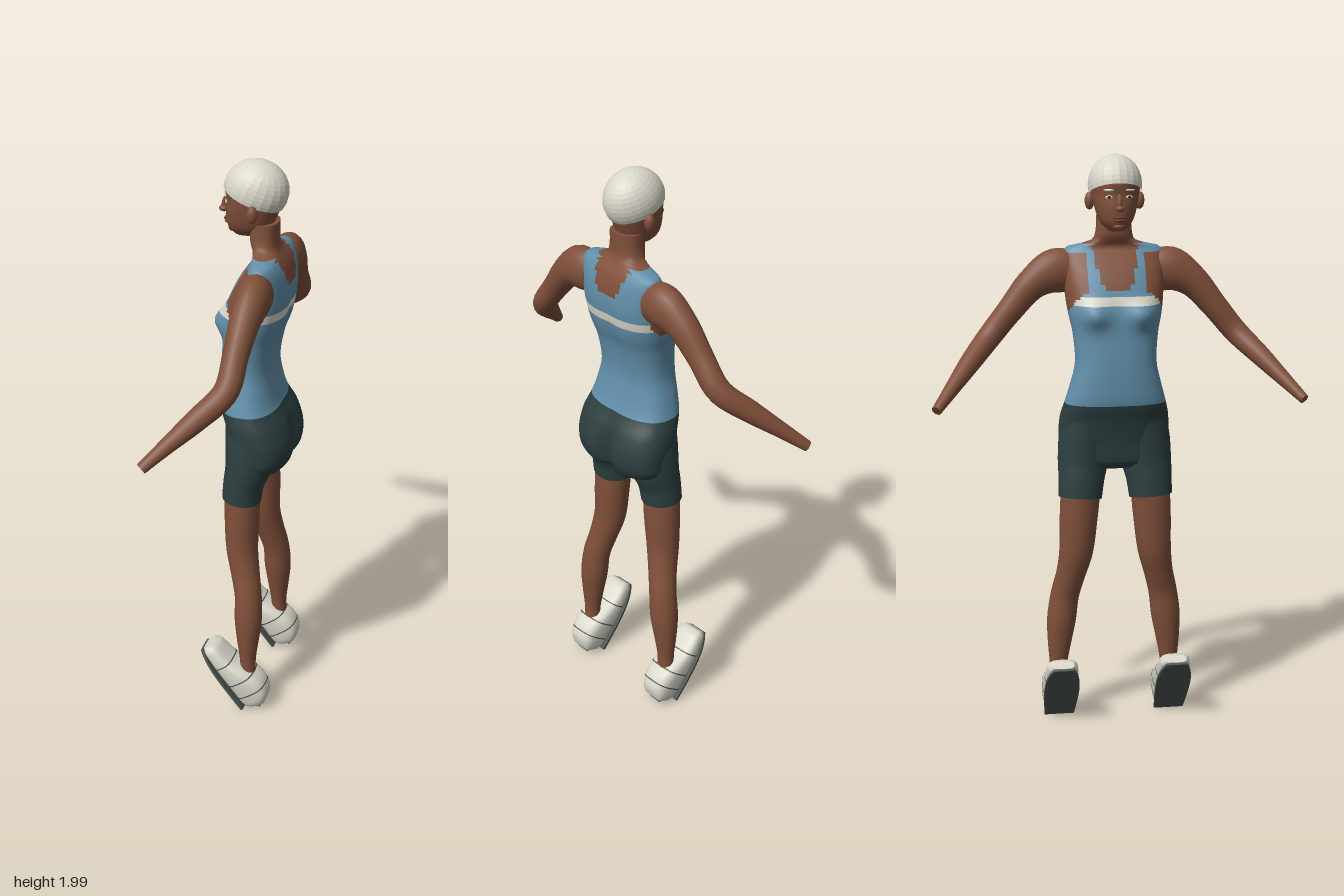
import * as THREE from 'three';

const mat = (name, color, side = THREE.FrontSide) => {
  const m = new THREE.MeshStandardMaterial({ color, side });
  m.name = name;
  return m;
};
const V = (x, y, z) => new THREE.Vector3(x, y, z);
const bump = (d, w) => Math.exp(-(d * d) / (w * w));
const sq = (c, n) => Math.sign(c) * Math.pow(Math.abs(c), 2 / n);

// Smooth lookup in a table whose first column is the position
function lookup(table, t) {
  let i = 0;
  while (i < table.length - 2 && t > table[i + 1][0]) i++;
  const a = table[i], b = table[i + 1];
  const p = table[Math.max(i - 1, 0)], q = table[Math.min(i + 2, table.length - 1)];
  const h = b[0] - a[0], s = THREE.MathUtils.clamp((t - a[0]) / h, 0, 1);
  return a.slice(1).map((v, k) => {
    const m0 = (b[k + 1] - p[k + 1]) / (b[0] - p[0]) * h;
    const m1 = (q[k + 1] - v) / (q[0] - a[0]) * h;
    const s2 = s * s, s3 = s2 * s;
    return (2 * s3 - 3 * s2 + 1) * v + (s3 - 2 * s2 + s) * m0
      + (3 * s2 - 2 * s3) * b[k + 1] + (s3 - s2) * m1;
  });
}

// Closed skin over rings of points; pick(centre) chooses a material index per face
function loft(rings, pick = () => 0) {
  const n = rings[0].length, pts = rings.flat(), buckets = [];
  const add = (...tri) => {
    const c = V(0, 0, 0);
    tri.forEach(i => c.addScaledVector(pts[i], 1 / 3));
    return c;
  };
  const put = (k, ...ids) => (buckets[k] ||= []).push(...ids);
  for (let i = 0; i < rings.length - 1; i++) for (let j = 0; j < n; j++) {
    const a = i * n + j, b = i * n + (j + 1) % n, c = a + n, d = b + n;
    const k = pick(add(a, b, c).add(add(b, d, c)).multiplyScalar(0.5));
    put(k, a, b, c, b, d, c);
  }
  for (const end of [0, rings.length - 1]) {
    const mid = V(0, 0, 0), start = pts.length;
    rings[end].forEach(p => mid.addScaledVector(p, 1 / n));
    pts.push(...rings[end].map(p => p.clone()), mid);
    const k = pick(mid);
    for (let j = 0; j < n; j++) {
      const a = start + j, b = start + (j + 1) % n;
      end ? put(k, a, b, start + n) : put(k, b, a, start + n);
    }
  }
  const g = new THREE.BufferGeometry().setFromPoints(pts), index = [];
  buckets.forEach((ids, k) => {
    g.addGroup(index.length, ids.length, k);
    for (const id of ids) index.push(id);
  });
  g.setIndex(index);
  g.computeVertexNormals();
  return g;
}

// Level rings from a table of [y, front x, back x, half width]
function levels(table, step, n, power, shape = p => p) {
  const y0 = table[0][0], y1 = table[table.length - 1][0], rows = Math.round((y1 - y0) / step);
  return Array.from({ length: rows + 1 }, (_, i) => {
    const y = y0 + (y1 - y0) * i / rows, [f, b, w] = lookup(table, y);
    return Array.from({ length: n }, (_, j) => {
      const t = j / n * Math.PI * 2;
      return shape(V((f + b) / 2 + (b - f) / 2 * sq(Math.cos(t), power), y, -w * sq(Math.sin(t), power)));
    });
  });
}

// Limb along [x, y, z, radius in x, other radius]
function limb(path, rows = 28, n = 20) {
  const curve = new THREE.CatmullRomCurve3(path.map(p => V(p[0], p[1], p[2])));
  const radii = path.map((p, i) => [i / (path.length - 1), p[3], p[4]]);
  return loft(Array.from({ length: rows + 1 }, (_, i) => {
    const t = i / rows, c = curve.getPoint(t), T = curve.getTangent(t), [a, b] = lookup(radii, t);
    const N = V(1, 0, 0).addScaledVector(T, -T.x).normalize(), B = T.clone().cross(N);
    return Array.from({ length: n }, (_, j) => {
      const q = j / n * Math.PI * 2;
      return c.clone().addScaledVector(N, a * Math.cos(q)).addScaledVector(B, b * Math.sin(q));
    });
  }));
}

// Shoe rings between two stations along the sole: [station, bottom, top, half width]
const SHOE = [[0, 0.004, 0.036, 0.038], [0.012, 0, 0.052, 0.05], [0.05, 0, 0.062, 0.057],
  [0.09, 0, 0.072, 0.06], [0.14, 0, 0.098, 0.062], [0.2, 0, 0.12, 0.06],
  [0.25, 0, 0.115, 0.054], [0.272, 0.01, 0.1, 0.049], [0.287, 0.045, 0.08, 0.038]];
function shoePiece(from, to, rows, grow) {
  return loft(Array.from({ length: rows + 1 }, (_, i) => {
    const u = from + (to - from) * i / rows, [lo, hi, w] = lookup(SHOE, u);
    return Array.from({ length: 24 }, (_, j) => {
      const t = j / 24 * Math.PI * 2;
      return V((lo + hi) / 2 + ((hi - lo) / 2 + grow) * sq(Math.cos(t), 3), -u, (w + grow) * sq(Math.sin(t), 3));
    });
  }));
}

export function createModel() {
  const model = new THREE.Group();
  model.name = 'athlete';
  const skin = mat('skin', 0x80503a), blue = mat('top blue', 0x6290ab), shorts = mat('shorts dark green', 0x2d3f40);
  const white = mat('off white', 0xd9d7ca, THREE.DoubleSide), dark = mat('sole grey', 0x4b5350);
  const eyeDark = mat('eye dark', 0x2a1a15), lip = mat('lip brown', 0x6b3a2e);
  const add = (name, geometry, material, parent = model) => {
    const m = new THREE.Mesh(geometry, material);
    m.name = name;
    parent.add(m);
    return m;
  };

  // Torso, hips and neck in one skin, with clothing chosen by region
  const torso = [[0.93, -0.02, 0.115, 0.1], [0.95, -0.04, 0.155, 0.17], [1.02, -0.047, 0.176, 0.19],
    [1.1, -0.062, 0.156, 0.189], [1.16, -0.08, 0.122, 0.175], [1.22, -0.084, 0.105, 0.158], [1.3, -0.083, 0.096, 0.14],
    [1.4, -0.076, 0.112, 0.146], [1.47, -0.07, 0.136, 0.16], [1.55, -0.05, 0.149, 0.17], [1.61, -0.022, 0.147, 0.172],
    [1.66, 0.012, 0.135, 0.17], [1.69, 0.03, 0.118, 0.155], [1.705, 0.022, 0.108, 0.085], [1.73, 0.01, 0.1, 0.064],
    [1.8, 0.005, 0.1, 0.058]];
  const shape = p => {
    const az = Math.abs(p.z);
    if (p.x > 0.05) p.x -= 0.045 * bump(p.y - 1.0, 0.09) * bump(p.z, 0.028) + 0.008 * bump(p.y - 1.42, 0.16) * bump(p.z, 0.03);
    else p.x -= 0.032 * bump(p.y - 1.47, 0.045) * bump(az - 0.085, 0.05);
    return p;
  };
  const clothing = p => {
    const az = Math.abs(p.z);
    if (p.y < 1.16) return 2;
    const scoop = (p.x > 0.07 ? 1.595 : 1.55) + 0.1 * Math.pow(az / 0.072, 4);
    const armhole = az > 0.1 && Math.hypot((p.x - 0.03) / 0.075, (p.y - 1.575) / 0.1) < 1;
    if (p.y > 1.7 || p.y > scoop || armhole) return 0;
    return p.y > 1.5 && p.y < 1.53 ? 3 : 1;
  };
  add('torso and clothing', loft(levels(torso, 0.01, 72, 2.5, shape), clothing), [skin, blue, shorts, white]);

  // Head
  const head = [[1.748, -0.045, 0.02, 0.025], [1.765, -0.064, 0.06, 0.045], [1.79, -0.073, 0.082, 0.06],
    [1.83, -0.076, 0.098, 0.072], [1.87, -0.073, 0.112, 0.08], [1.91, -0.078, 0.122, 0.083],
    [1.95, -0.06, 0.11, 0.07], [1.98, -0.025, 0.075, 0.04]];
  add('head', loft(levels(head, 0.01, 32, 2.15)), skin);

  // Close-fitting faceted cap, lower at the back
  const capShape = new THREE.SphereGeometry(1, 22, 12, 0, Math.PI * 2, 0, 1.85)
    .rotateZ(-0.37).scale(0.107, 0.1, 0.091).translate(0.024, 1.9, 0).toNonIndexed();
  capShape.computeVertexNormals();
  add('cap', capShape, white);

  // Face
  const blob = (name, material, x, y, z, a, b, c, turn = 0) => {
    const m = add(name, new THREE.SphereGeometry(1, 12, 8).scale(a, b, c), material);
    m.position.set(x, y, z);
    m.rotation.y = turn;
    return m;
  };
  blob('nose bridge', skin, -0.078, 1.848, 0, 0.014, 0.028, 0.009).rotation.z = -0.3;
  blob('nose tip', skin, -0.086, 1.826, 0, 0.016, 0.011, 0.015);
  blob('upper lip', lip, -0.075, 1.796, 0, 0.009, 0.005, 0.02);
  blob('lower lip', lip, -0.073, 1.786, 0, 0.009, 0.006, 0.017);
  blob('chin', skin, -0.056, 1.766, 0, 0.013, 0.013, 0.022);

  for (const s of [1, -1]) {
    const side = s > 0 ? 'left' : 'right';
    const z = -s; // facing -x, the figure's left lies toward +z
    const k = -z;
    const label = part => `${side} ${part}`;
    blob(label('eye'), white, -0.067, 1.863, k * 0.034, 0.004, 0.006, 0.013, k * 0.35);
    blob(label('pupil'), eyeDark, -0.07, 1.863, k * 0.034, 0.003, 0.005, 0.006, k * 0.35);
    blob(label('eyebrow'), white, -0.069, 1.886, k * 0.036, 0.004, 0.004, 0.018, k * 0.35);
    blob(label('ear'), skin, 0.035, 1.845, k * 0.085, 0.018, 0.03, 0.017, k * 0.4);

    // Arm, ending at the wrist
    add(label('arm'), limb([[0.075, 1.603, k * 0.14, 0.05, 0.07], [0.075, 1.606, k * 0.2, 0.056, 0.076],
      [0.07, 1.566, k * 0.275, 0.05, 0.056], [0.063, 1.48, k * 0.352, 0.042, 0.045],
      [0.054, 1.388, k * 0.428, 0.041, 0.041], [-0.02, 1.313, k * 0.5, 0.037, 0.035],
      [-0.1, 1.24, k * 0.568, 0.026, 0.025], [-0.162, 1.182, k * 0.622, 0.019, 0.017]], 36), skin);

    // Shorts leg and bare leg
    add(label('shorts leg'), limb([[0.035, 1.1, k * 0.1, 0.085, 0.08], [0.04, 1.03, k * 0.107, 0.088, 0.088],
      [0.032, 0.95, k * 0.112, 0.08, 0.088], [0.018, 0.89, k * 0.119, 0.07, 0.081],
      [0.011, 0.825, k * 0.124, 0.067, 0.076]]), shorts);
    add(label('leg'), limb([[0.012, 0.86, k * 0.122, 0.06, 0.07], [0.014, 0.75, k * 0.13, 0.06, 0.067],
      [0.017, 0.63, k * 0.139, 0.055, 0.06], [0.034, 0.54, k * 0.157, 0.05, 0.052],
      [0.05, 0.46, k * 0.176, 0.047, 0.051], [0.054, 0.37, k * 0.188, 0.048, 0.052],
      [0.055, 0.28, k * 0.196, 0.038, 0.042], [0.056, 0.2, k * 0.2, 0.028, 0.032],
      [0.058, 0.11, k * 0.202, 0.028, 0.032]], 36), skin);

    // Shoe tipped toe-up, with dark seams and sole
    const shoe = new THREE.Group();
    shoe.name = label('shoe');
    shoe.position.set(-0.105, 0.234, k * 0.2);
    shoe.rotation.z = 0.614;
    model.add(shoe);
    add('shoe body', shoePiece(0, 0.287, 24, 0), white, shoe);
    for (const u of [0.085, 0.165, 0.225]) add('shoe seam', shoePiece(u, u + 0.004, 1, 0.001), dark, shoe);
    const sole = new THREE.Shape();
    sole.moveTo(0.035, 0);
    sole.bezierCurveTo(0.068, -0.05, 0.066, -0.12, 0.053, -0.27);
    sole.lineTo(-0.053, -0.27);
    sole.bezierCurveTo(-0.066, -0.12, -0.068, -0.05, -0.035, 0);
    const soleShape = new THREE.ExtrudeGeometry(sole, { depth: 0.009, bevelEnabled: false, curveSegments: 10 });
    add('sole', soleShape.rotateY(Math.PI / 2).translate(-0.006, 0, 0), dark, shoe);
    const tab = add('heel tab', new THREE.BoxGeometry(0.006, 0.035, 0.05), dark, shoe);
    tab.position.set(0.05, -0.28, 0);
  }
  return model;
}
